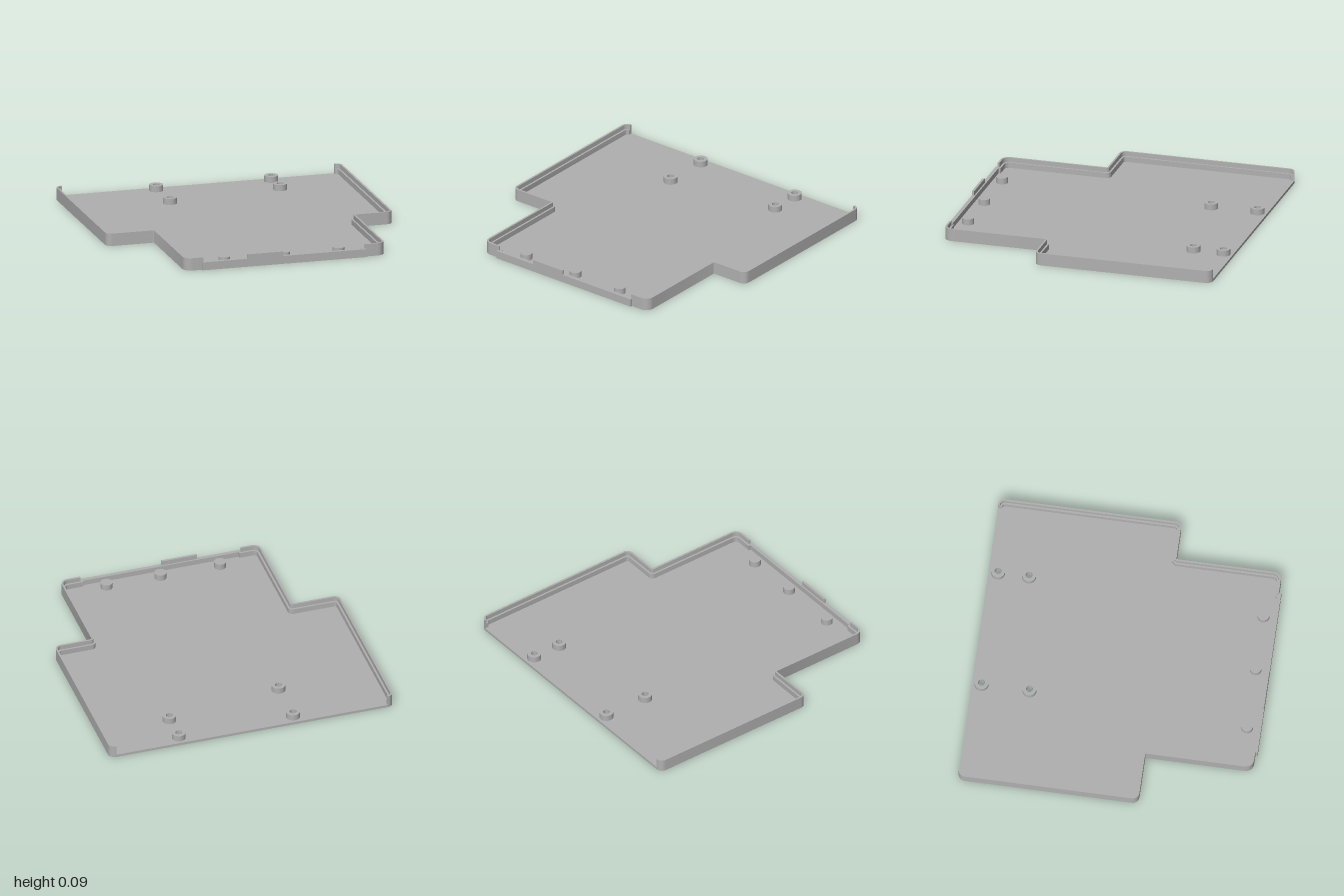
import * as THREE from 'three';
import { toCreasedNormals } from 'three/addons/utils/BufferGeometryUtils.js';

const BACK = -0.985, FLOOR = 0.018, LEDGE = 0.055, TOP = 0.086;

// Plan outline as [x, z, cornerRadius], from the right back corner round the front to the left back corner
const RIGHT = [[-0.955, BACK, 0], [-1, BACK, 0.045], [-1, 0.24, 0.045], [-0.67, 0.24, 0.005], [-0.67, 0.97, 0.055]];
const LEFT = [[0.735, 0.97, 0.055], [0.735, 0.255, 0.005], [1, 0.255, 0.045], [1, BACK, 0.045], [0.955, BACK, 0]];
const FRONT = [[-0.55, 0.97, 0], [-0.55, 0.985, 0], [0.6, 0.985, 0], [0.6, 0.97, 0]];
const OUTLINE = [...RIGHT, ...FRONT, ...LEFT];

// Points of a right-angled path moved inward by d, with rounded corners
function pathPoints(path, d) {
  const p = path.map(([x, z]) => new THREE.Vector2(x, z));
  const dir = p.slice(1).map((q, i) => q.clone().sub(p[i]).normalize());
  const inward = (v) => new THREE.Vector2(v.y, -v.x);
  const out = [];
  p.forEach((q, i) => {
    const a = dir[i - 1], b = dir[i];
    const v = q.clone();
    if (a) v.addScaledVector(inward(a), d);
    if (b) v.addScaledVector(inward(b), d);
    if (!a || !b) { out.push(v); return; }
    const turn = Math.sign(a.cross(b));
    const r = path[i][2] > 0 ? Math.max(0, path[i][2] + turn * d) : 0;
    if (r < 0.002) { out.push(v); return; }
    const c = v.clone().addScaledVector(a, -r).addScaledVector(b, r);
    for (let k = 0; k <= 8; k++) {
      const t = (k / 8) * Math.PI / 2;
      out.push(c.clone().addScaledVector(b, -r * Math.cos(t)).addScaledVector(a, r * Math.sin(t)));
    }
  });
  return out;
}

const toShape = (pts) => new THREE.Shape(pts.map((p) => new THREE.Vector2(p.x, -p.y)));
const band = (path, d) => toShape([...pathPoints(path, 0), ...pathPoints(path, d).reverse()]);

function circle(x, z, r, Type = THREE.Path) {
  const c = new Type();
  c.absarc(x, -z, r, 0, Math.PI * 2, false);
  return c;
}

export function createModel() {
  const group = new THREE.Group();
  group.name = 'tray';
  const grey = new THREE.MeshStandardMaterial({ color: 0xb0b0b0 });
  grey.name = 'grey plastic';

  // Raise a plan shape from y0 to y1
  const raise = (name, shape, y0, y1) => {
    const g = new THREE.ExtrudeGeometry(shape, { depth: y1 - y0, bevelEnabled: false, curveSegments: 16 });
    g.rotateX(-Math.PI / 2).translate(0, y0, 0);
    const mesh = new THREE.Mesh(toCreasedNormals(g, 0.6), grey);
    mesh.name = name;
    group.add(mesh);
  };

  // Floor with screw holes
  const bosses = [[-0.31, -0.92], [0.495, -0.92], [0.495, -0.71], [-0.31, -0.595]];
  const floor = toShape(pathPoints(OUTLINE, 0));
  bosses.forEach(([x, z]) => floor.holes.push(circle(x, z, 0.023)));
  raise('floor', floor, 0, FLOOR);

  // Lower wall with its ledge, open at the back
  raise('lowerWall', band(OUTLINE, 0.026), FLOOR, LEDGE);

  // Thin upper lip, interrupted by two slots at the front
  raise('rightLip', band([...RIGHT, [-0.54, 0.97, 0]], 0.013), LEDGE, TOP);
  raise('leftLip', band([[0.59, 0.97, 0], ...LEFT], 0.013), LEDGE, TOP);
  raise('frontTab', band([[-0.235, 0.985, 0], [0.015, 0.985, 0]], 0.016), LEDGE, TOP);

  // Hollow screw bosses
  bosses.forEach(([x, z]) => {
    const ring = circle(x, z, 0.047, THREE.Shape);
    ring.holes.push(circle(x, z, 0.023));
    raise('screwBoss', ring, FLOOR, 0.06);
  });

  // Solid support posts along the front
  [-0.37, 0.05, 0.43].forEach((x) => raise('supportPost', circle(x, 0.888, 0.04, THREE.Shape), FLOOR, 0.06));

  return group;
}
